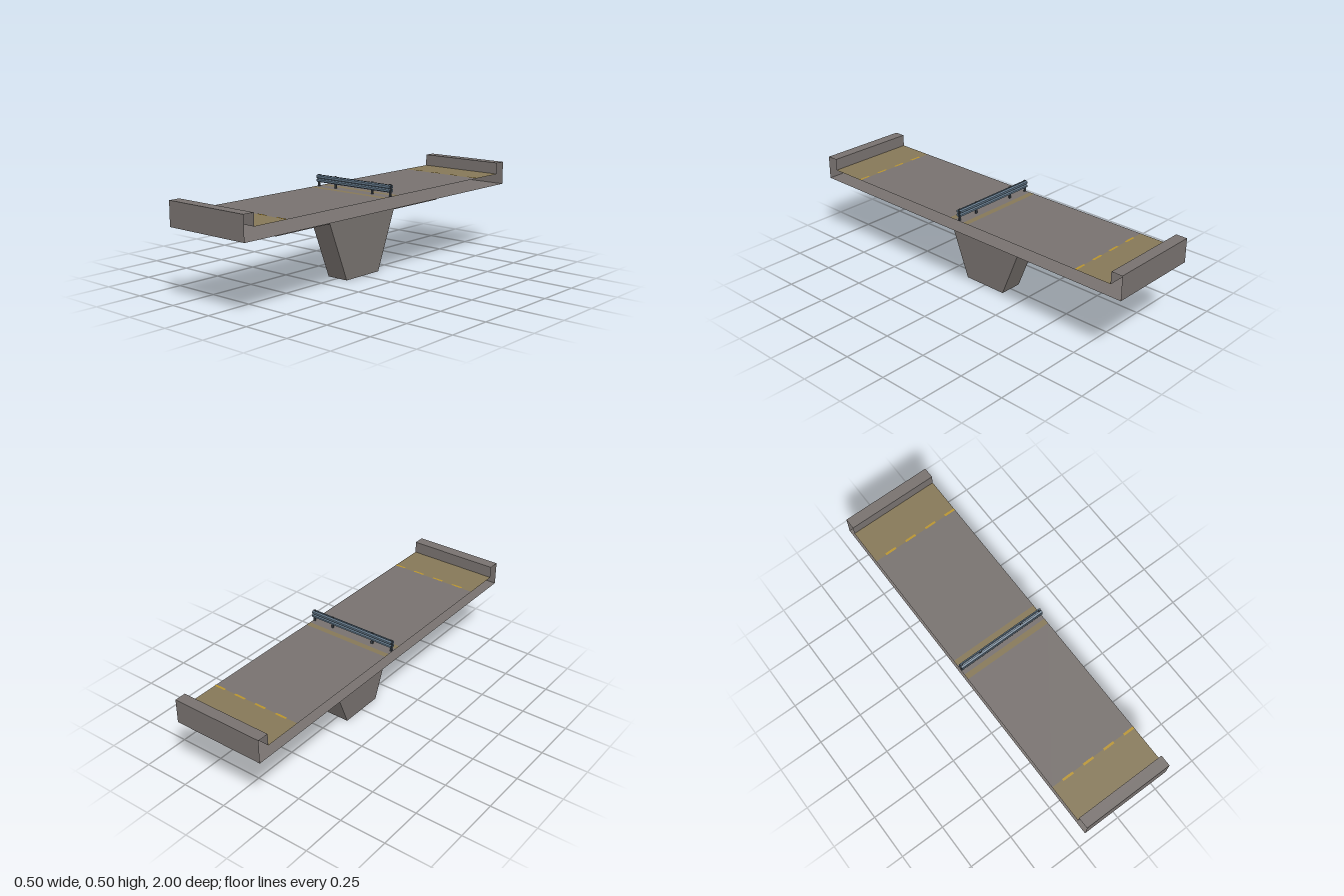
import * as THREE from 'three';

const HALF = 0.25;      // half length along x
const ROAD = 0.439;     // road surface height
const TOP = 0.502;      // parapet height
const UNDER = 0.376;    // underside of the deck

const mat = (name, color) => {
  const m = new THREE.MeshStandardMaterial({ color, side: THREE.DoubleSide });
  m.name = name;
  return m;
};

// Open-ended sheet: a profile of [z, y] points swept along x, with flat facets
function ribbon(name, material, points, x0 = -HALF, x1 = HALF) {
  const pos = [];
  for (let i = 0; i < points.length - 1; i++) {
    const [z0, y0] = points[i], [z1, y1] = points[i + 1];
    pos.push(x0, y0, z0, x1, y0, z0, x1, y1, z1);
    pos.push(x0, y0, z0, x1, y1, z1, x0, y1, z1);
  }
  const g = new THREE.BufferGeometry();
  g.setAttribute('position', new THREE.Float32BufferAttribute(pos, 3));
  g.computeVertexNormals();
  const mesh = new THREE.Mesh(g, material);
  mesh.name = name;
  return mesh;
}

export function createModel() {
  const group = new THREE.Group();
  group.name = 'roadBridge';
  const concrete = mat('concrete', 0x78726f);
  const tan = mat('shoulderTan', 0x867858);
  const yellow = mat('lineYellow', 0xb8942f);
  const steel = mat('railSteel', 0x627789);
  const dark = mat('postDark', 0x3c444c);

  // Hollow deck shell: underside and both parapets, open at the ends
  group.add(ribbon('deckShell', concrete, [
    [-0.94, ROAD], [-0.94, TOP], [-1, TOP], [-1, UNDER],
    [1, UNDER], [1, TOP], [0.94, TOP], [0.94, ROAD],
  ]));

  // Road surface in bands, from front to back
  const flat = (name, m, z0, z1) => group.add(ribbon(name, m, [[z0, ROAD], [z1, ROAD]]));
  flat('frontShoulder', tan, 0.94, 0.74);
  flat('frontRoadway', concrete, 0.74, 0.06);
  flat('frontMedianEdge', tan, 0.06, 0.03);
  flat('median', concrete, 0.03, -0.03);
  flat('backMedianEdge', tan, -0.03, -0.06);
  flat('backRoadway', concrete, -0.06, -0.74);
  flat('backShoulder', tan, -0.74, -0.94);

  // Dashed lines
  for (const side of [1, -1]) {
    for (let i = 0; i < 4; i++) {
      const x = -0.1875 + i * 0.125, z = side * 0.743;
      group.add(ribbon('dash', yellow,
        [[z + 0.006, ROAD + 0.002], [z - 0.006, ROAD + 0.002]], x, x + 0.0625));
    }
  }

  // Pier with cantilevered cross beam
  const half = [[0.125, 0], [0.25, 0.314], [0.625, 0.314], [0.687, UNDER - 0.0005]];
  const outline = [...half, ...half.map(([z, y]) => [-z, y]).reverse()];
  const pierGeo = new THREE.ExtrudeGeometry(
    new THREE.Shape(outline.map(([z, y]) => new THREE.Vector2(z, y))),
    { depth: 0.125, bevelEnabled: false });
  pierGeo.translate(0, 0, -0.0625).rotateY(Math.PI / 2);
  const pier = new THREE.Mesh(pierGeo, concrete);
  pier.name = 'pier';
  group.add(pier);

  // Corrugated guard rail on both faces of a row of posts
  const wave = [[0.004, 0.46], [0.013, 0.465], [0.013, 0.474], [0.006, 0.479],
    [0.013, 0.484], [0.013, 0.494], [0.004, 0.499]];
  group.add(ribbon('frontRail', steel, wave));
  group.add(ribbon('backRail', steel, wave.map(([z, y]) => [-z, y]).reverse()));
  for (const x of [-0.242, -0.125, 0.125, 0.242]) {
    const post = new THREE.Mesh(new THREE.BoxGeometry(0.01, TOP - ROAD, 0.008), dark);
    post.name = 'railPost';
    post.position.set(x, (TOP + ROAD) / 2, 0);
    group.add(post);
  }
  return group;
}
